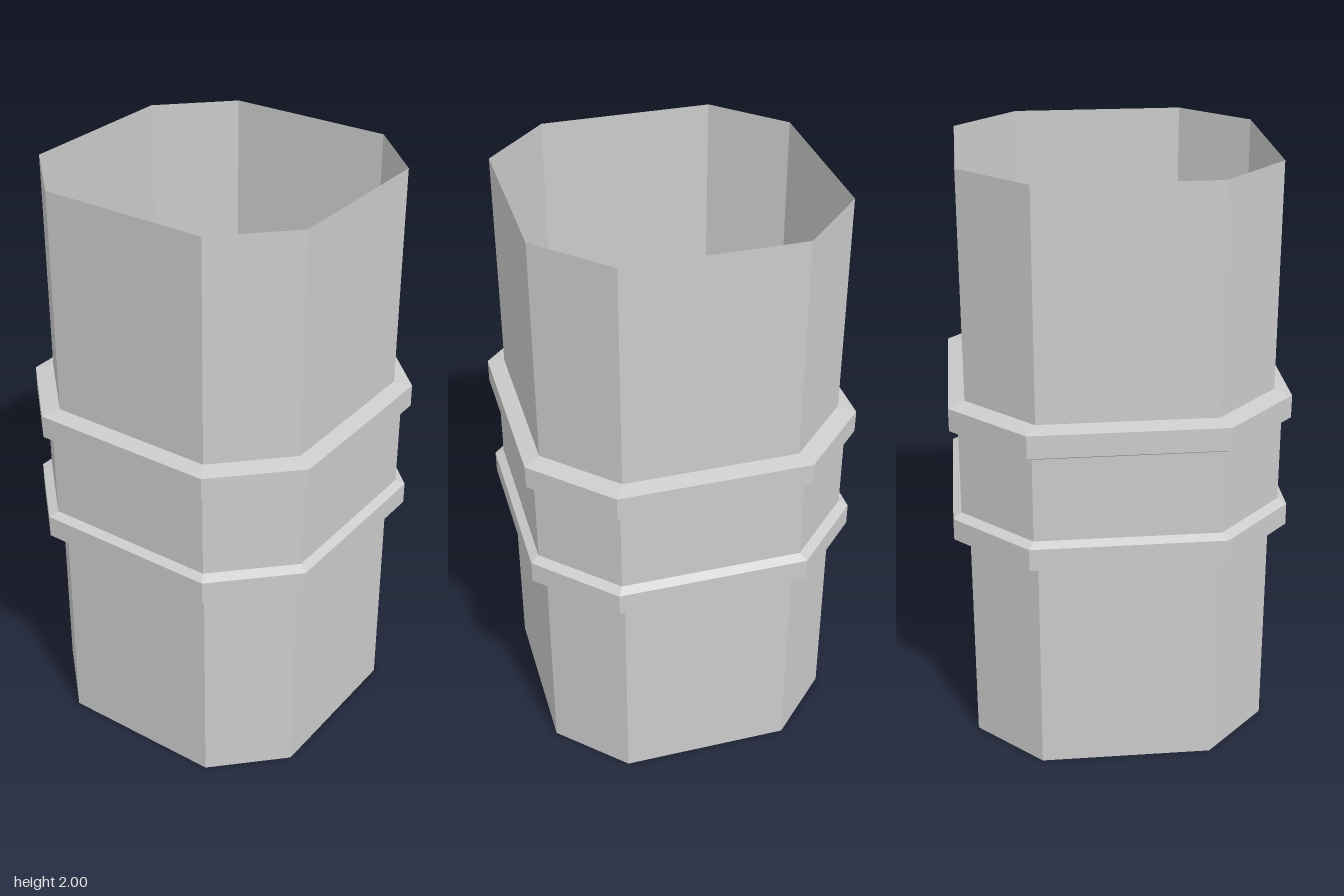
import * as THREE from 'three';

// Octagon with long straight sides and shorter chamfered corners, as [x, z] for half width 1
const C = 0.573;
const OCTAGON = [[1, -C], [1, C], [C, 1], [-C, 1], [-1, C], [-1, -C], [-C, -1], [C, -1]];

const material = new THREE.MeshStandardMaterial({
  color: 0xcccccc, flatShading: true, side: THREE.DoubleSide,
});

// Open shell skinned through octagonal rings, given as [half width, height] from bottom to top
function octagonShell(name, profile) {
  const positions = [];
  const n = OCTAGON.length;
  const point = ([r, y], i) => {
    const [x, z] = OCTAGON[i % n];
    return [x * r, y, z * r];
  };
  for (let k = 0; k < profile.length - 1; k++) {
    for (let i = 0; i < n; i++) {
      const a = point(profile[k], i), b = point(profile[k + 1], i);
      const c = point(profile[k + 1], i + 1), d = point(profile[k], i + 1);
      positions.push(...a, ...b, ...c, ...a, ...c, ...d);
    }
  }
  const geometry = new THREE.BufferGeometry();
  geometry.setAttribute('position', new THREE.Float32BufferAttribute(positions, 3));
  geometry.computeVertexNormals();
  const mesh = new THREE.Mesh(geometry, material);
  mesh.name = name;
  return mesh;
}

export function createModel() {
  const group = new THREE.Group();
  group.name = 'octagonalPipe';
  const TUBE = 0.5, SLEEVE = 0.525, COLLAR = 0.553;

  group.add(
    // Plain tube ends
    octagonShell('lowerTube', [[TUBE, 0], [TUBE, 0.755]]),
    octagonShell('upperTube', [[TUBE, 1.25], [TUBE, 2]]),
    // Bevelled collars around the joint
    octagonShell('lowerCollar', [[TUBE, 0.755], [COLLAR, 0.77], [COLLAR, 0.845], [SLEEVE, 0.86]]),
    octagonShell('upperCollar', [[SLEEVE, 1.145], [COLLAR, 1.16], [COLLAR, 1.237], [TUBE, 1.25]]),
    // Slightly wider sleeve between the collars
    octagonShell('sleeve', [[SLEEVE, 0.86], [SLEEVE, 1.145]]),
  );
  return group;
}
